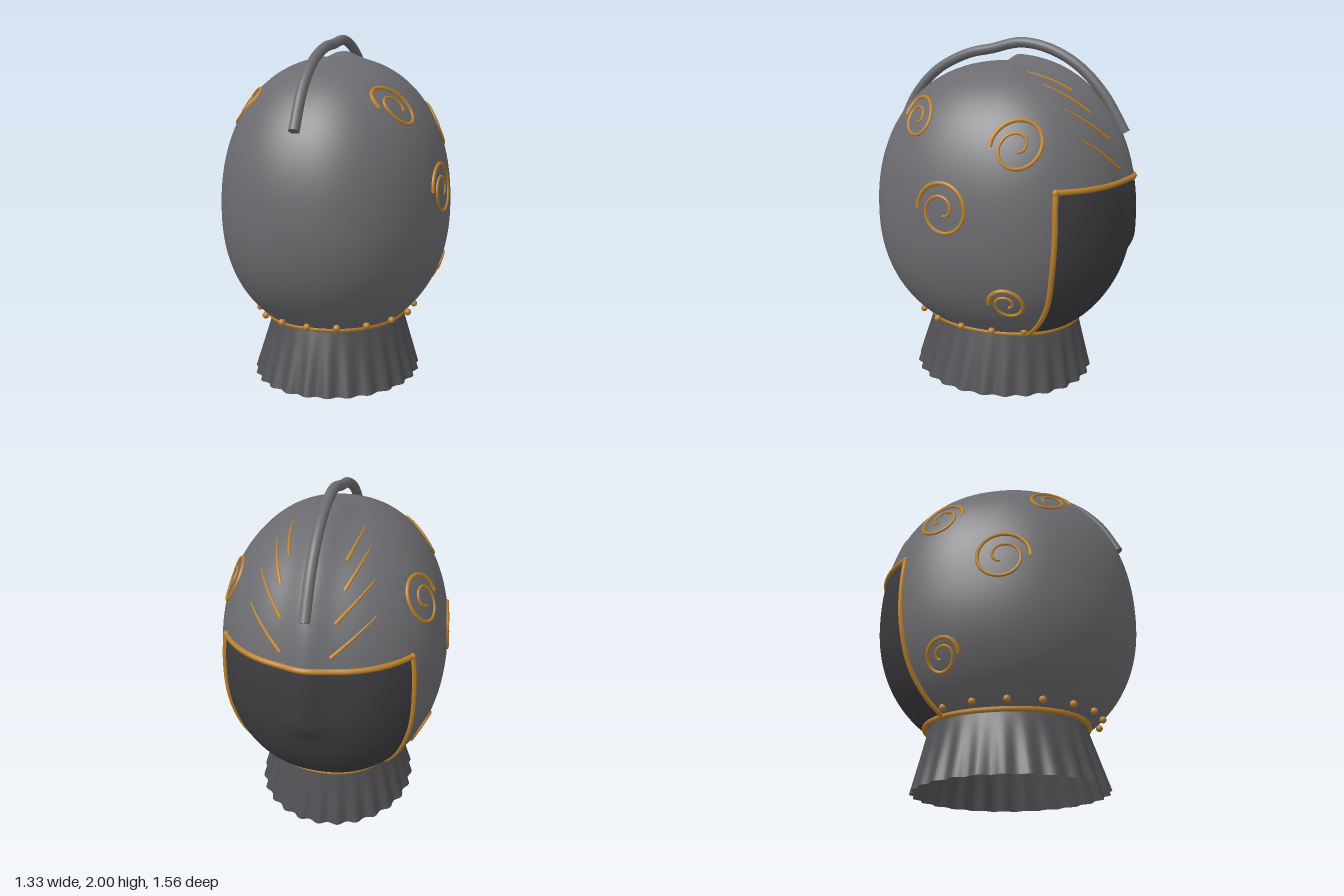
import * as THREE from 'three';
import { ParametricGeometry } from 'three/addons/geometries/ParametricGeometry.js';

const mat = (name, color, side = THREE.FrontSide) => {
  const m = new THREE.MeshStandardMaterial({ color, side });
  m.name = name;
  return m;
};

// Dome: a slightly squared ellipsoid centred at y = 1, facing -z
const P = 2.2, RX = 0.655, FRONT = 0.78, BACK = 0.745, BASE = 0.36, BROW = 1.24;
const spow = (v, e) => Math.sign(v) * Math.pow(Math.abs(v), e);
const scaleAt = (y) =>
  Math.pow(Math.max(0, 1 - Math.pow(Math.abs(y - 1) / (y > 1 ? 0.87 : 0.77), P)), 1 / P);

// Raised ridge along the middle of the face side
function ridge(p) {
  const k = 0.045 * Math.exp(-((p.x / 0.09) ** 2))
    * THREE.MathUtils.smoothstep(-p.z, 0, 0.07)
    * THREE.MathUtils.smoothstep(p.y, 0.78, 0.92);
  p.x *= 1 + k;
  p.z *= 1 + k;
  p.y += (p.y - 1) * k;
  return p;
}

// Point on the dome at angle a (from +z towards +x) and height y
function domePoint(a, y, target = new THREE.Vector3()) {
  const s = scaleAt(y), c = Math.cos(a);
  return ridge(target.set(
    RX * s * spow(Math.sin(a), 2 / P), y, (c > 0 ? FRONT : BACK) * s * spow(c, 2 / P)));
}

// Point on the +x side of the dome from its z and y
function sidePoint(z, y) {
  const r = Math.pow(scaleAt(y), P) - Math.pow(Math.abs(z) / (z > 0 ? FRONT : BACK), P);
  return ridge(new THREE.Vector3(RX * Math.pow(Math.max(0, r), 1 / P), y, z));
}

// Point on the face side of the dome from its x and y
function rearPoint(x, y) {
  const r = Math.pow(scaleAt(y), P) - Math.pow(Math.abs(x) / RX, P);
  return ridge(new THREE.Vector3(x, y, -BACK * Math.pow(Math.max(0, r), 1 / P)));
}

// Side edge of the face panel
const edge = new THREE.CatmullRomCurve3(
  [[BASE, -0.27], [0.45, -0.345], [0.6, -0.42], [0.8, -0.46], [1.0, -0.475], [BROW, -0.47]]
    .map(([y, z]) => new THREE.Vector3(0, y, z)));
function edgeAt(v) {
  const p = edge.getPoint(THREE.MathUtils.clamp(v, 0, 1));
  const ratio = Math.pow(-p.z / (BACK * scaleAt(p.y)), P / 2);
  return { y: p.y, a: Math.PI / 2 + Math.asin(Math.min(1, ratio)) };
}

// Tube whose radius changes along its length
function taperedTube(points, radius, taper, closed = false, segments = 64) {
  const curve = new THREE.CatmullRomCurve3(points, closed);
  const geo = new THREE.TubeGeometry(curve, segments, radius, 8, closed);
  const pos = geo.attributes.position, v = new THREE.Vector3();
  for (let i = 0; i <= segments; i++) {
    const c = curve.getPointAt(i / segments), k = taper(i / segments);
    for (let j = 0; j < 9; j++) {
      const n = i * 9 + j;
      v.fromBufferAttribute(pos, n).sub(c).multiplyScalar(k).add(c);
      pos.setXYZ(n, v.x, v.y, v.z);
    }
  }
  return geo;
}

export function createModel() {
  const group = new THREE.Group();
  const steel = mat('steel', 0x6c6c70, THREE.DoubleSide);
  const darkSteel = mat('dark steel', 0x3c3c3f, THREE.DoubleSide);
  const collar = mat('collar grey', 0x515155, THREE.DoubleSide);
  const gold = mat('gold', 0xb87f2a, THREE.DoubleSide);
  const add = (name, geo, material) => {
    const mesh = new THREE.Mesh(geo, material);
    mesh.name = name;
    group.add(mesh);
    return mesh;
  };
  const even = () => 1;

  // Dome above the brow, dome around the face, and the face panel
  const startAngle = Math.asin(Math.pow((BROW - 1) / 0.87, P / 2));
  add('domeTop', new ParametricGeometry((u, v, t) => {
    const phi = THREE.MathUtils.lerp(startAngle, Math.PI / 2 - 0.004, v);
    domePoint(u * Math.PI * 2, 1 + 0.87 * Math.pow(Math.sin(phi), 2 / P), t);
  }, 160, 48), steel);
  add('domeSides', new ParametricGeometry((u, v, t) => {
    const e = edgeAt(v);
    domePoint((u * 2 - 1) * e.a, e.y, t);
  }, 100, 40), steel);
  add('facePanel', new ParametricGeometry((u, v, t) => {
    const e = edgeAt(v);
    domePoint(THREE.MathUtils.lerp(e.a, Math.PI * 2 - e.a, u), e.y, t);
  }, 70, 50), darkSteel);

  // Fluted flaring collar, open below
  add('collar', new ParametricGeometry((u, v, t) => {
    const a = u * Math.PI * 2, d = 1 - v;
    const k = 1 + 0.022 * d * Math.cos(a * 26);
    t.set((0.385 + 0.1 * d) * k * Math.sin(a), BASE * v,
      0.012 + 0.016 * d + (0.45 + 0.092 * d) * k * Math.cos(a));
  }, 208, 10), collar);

  // Gold trim around collar, brow and face sides
  const ring = [], brow = [];
  for (let i = 0; i < 40; i++) ring.push(domePoint((i / 40) * Math.PI * 2, BASE));
  add('collarRing', taperedTube(ring, 0.016, even, true, 100), gold);
  const corner = edgeAt(1).a;
  for (let i = 0; i <= 40; i++) {
    brow.push(domePoint(THREE.MathUtils.lerp(corner, Math.PI * 2 - corner, i / 40), BROW));
  }
  add('browTrim', taperedTube(brow, 0.016, even), gold);
  for (const side of [1, -1]) {
    const path = [];
    for (let i = 0; i <= 20; i++) {
      const e = edgeAt(i / 20);
      path.push(domePoint(side * e.a, e.y));
    }
    add('faceSideTrim', taperedTube(path, 0.016, even), gold);
    add('trimCorner', new THREE.SphereGeometry(0.019, 12, 8), gold).position.copy(path[20]);
  }

  // Beads above the collar
  for (let i = -6; i <= 6; i++) {
    const a = THREE.MathUtils.degToRad(i * 20.5);
    add('bead', new THREE.SphereGeometry(0.02, 14, 10), gold)
      .position.set(0.46 * Math.sin(a), 0.392, 0.03 + 0.525 * Math.cos(a));
  }

  // Scrolls: centre z, centre y, radius
  const scrolls = [[0.115, 1.12, 0.152], [0.35, 1.575, 0.108], [-0.265, 1.465, 0.135], [-0.22, 0.61, 0.095]];
  // Brow strokes: start x, y and end x, y
  const strokes = [[0.13, 1.31, 0.33, 1.49], [0.14, 1.47, 0.3, 1.64], [0.165, 1.61, 0.25, 1.76], [0.15, 1.72, 0.195, 1.82]];
  for (const side of [1, -1]) {
    const mirror = (p) => p.set(p.x * side, p.y, p.z);
    for (const [z, y, R] of scrolls) {
      const path = [];
      for (let i = 0; i <= 40; i++) {
        const t = i / 40, a = Math.PI - t * Math.PI * 3.4;
        const r = R * (1 - 0.82 * Math.pow(t, 1.6));
        path.push(mirror(sidePoint(z - r * Math.cos(a), y + r * Math.sin(a))));
      }
      add('scroll', taperedTube(path, 0.013, (t) => 1 - 0.4 * t, false, 90), gold);
    }
    for (const [x0, y0, x1, y1] of strokes) {
      const path = [];
      for (let i = 0; i <= 8; i++) {
        const t = i / 8;
        path.push(mirror(rearPoint(x0 + (x1 - x0) * t, y0 + (y1 - y0) * t)));
      }
      add('browStroke', taperedTube(path, 0.011, (t) => 1 - 0.65 * t, false, 24), gold);
    }
  }

  // Arched crest rod with flat ends
  const arch = [[0.71, 1.46], [0.6, 1.66], [0.45, 1.81], [0.25, 1.905], [0.1, 1.935], [-0.08, 1.971],
    [-0.25, 1.94], [-0.42, 1.85], [-0.57, 1.7], [-0.7, 1.49]]
    .map(([z, y]) => new THREE.Vector3(0, y, z));
  const archCurve = new THREE.CatmullRomCurve3(arch);
  add('crest', new THREE.TubeGeometry(archCurve, 80, 0.029, 16), steel);
  for (const t of [0, 1]) {
    const cap = add('crestEnd', new THREE.CircleGeometry(0.029, 16), steel);
    const p = archCurve.getPointAt(t);
    cap.position.copy(p);
    cap.lookAt(p.clone().addScaledVector(archCurve.getTangentAt(t), t ? 1 : -1));
  }
  return group;
}
